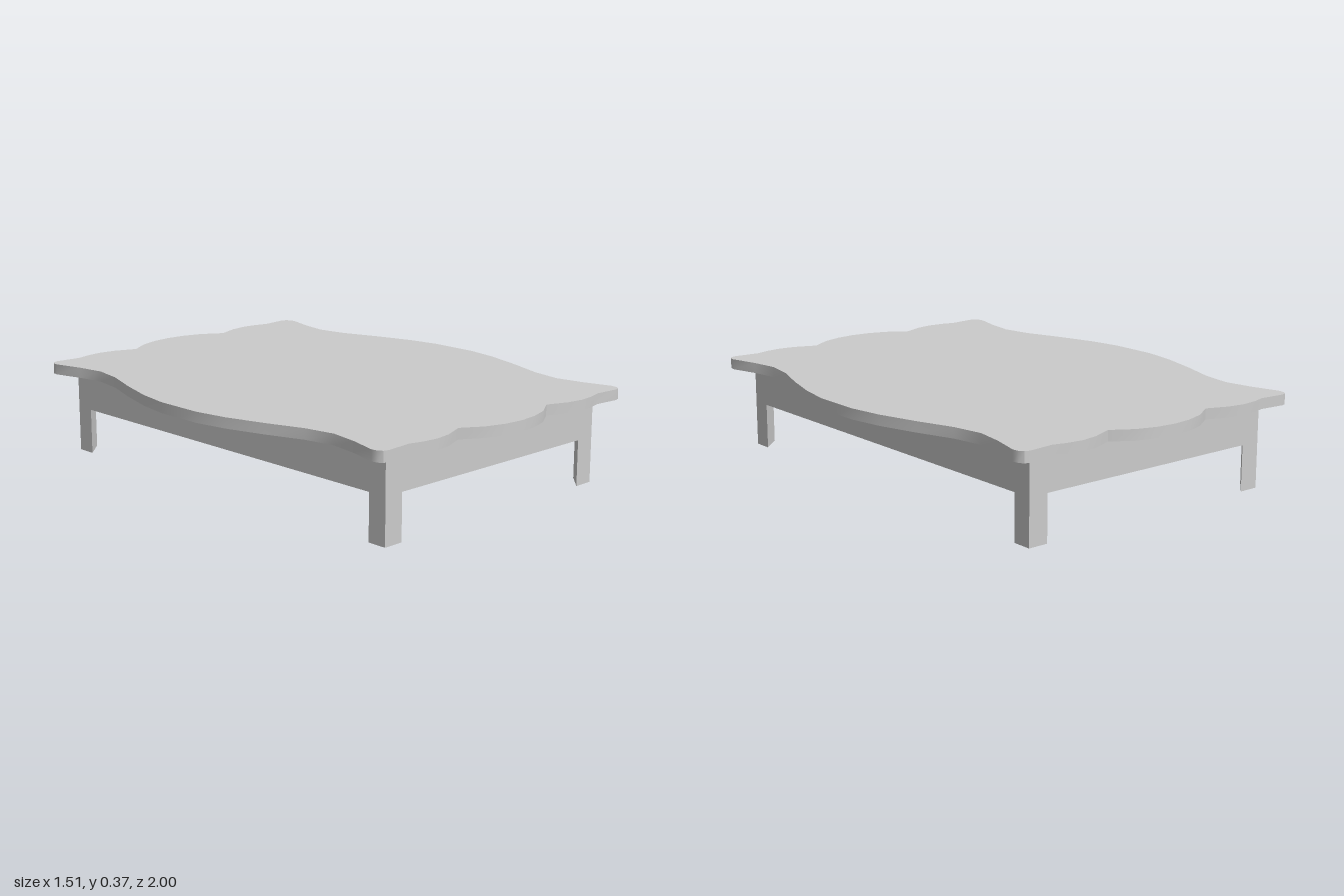
import * as THREE from 'three';
import { toCreasedNormals } from 'three/addons/utils/BufferGeometryUtils.js';

const W = 0.57, D = 0.88;                     // half size of the frame
const LEG_X = 0.082, LEG_Z = 0.079;           // leg widths along x and z
const APRON_Y = 0.183, RIM_Y = 0.33, TOP_Y = 0.372;

// Quarter outline of the scalloped top, from side middle to front middle (x, z)
const QUARTER = [
  [0.755, 0], [0.755, 0.1], [0.732, 0.235], [0.685, 0.395], [0.632, 0.545], [0.61, 0.67],
  [0.629, 0.785], [0.661, 0.9], [0.657, 0.926], [0.645, 0.942], [0.625, 0.948], [0.52, 0.938],
  [0.465, 0.953], [0.4, 0.96], [0.33, 0.949], [0.243, 0.915], [0.16, 0.967], [0.08, 0.992], [0, 1],
];
const FRONT = [...QUARTER, ...QUARTER.slice(0, -1).reverse().map(([x, z]) => [-x, z])];
const OUTLINE = [...FRONT, ...FRONT.slice(1, -1).map(([x, z]) => [-x, -z])].reverse();

const toShape = (points) => new THREE.Shape(points.map(([x, y]) => new THREE.Vector2(x, y)));

// Vertical band that follows the outline of the top
function rimGeometry() {
  const n = OUTLINE.length;
  const geo = new THREE.PlaneGeometry(1, 1, n, 1);
  const pos = geo.attributes.position;
  for (let i = 0; i < pos.count; i++) {
    const [x, z] = OUTLINE[(i % (n + 1)) % n];
    pos.setXYZ(i, x, i <= n ? TOP_Y : RIM_Y, z);
  }
  return toCreasedNormals(geo, 0.6);
}

// Thin apron panel that runs down into a leg at each end
function apronGeometry(half, leg) {
  const inner = half - leg;
  return new THREE.ShapeGeometry(toShape([
    [-half, 0], [-inner, 0], [-inner, APRON_Y], [inner, APRON_Y],
    [inner, 0], [half, 0], [half, RIM_Y], [-half, RIM_Y],
  ]));
}

export function createModel() {
  const group = new THREE.Group();
  const material = new THREE.MeshStandardMaterial({ color: 0xcccccc, side: THREE.DoubleSide });

  const add = (name, geometry) => {
    const mesh = new THREE.Mesh(geometry, material);
    mesh.name = name;
    group.add(mesh);
    return mesh;
  };

  // Scalloped top: a sheet with a rim, open underneath
  const sheet = new THREE.ShapeGeometry(toShape(OUTLINE));
  sheet.rotateX(-Math.PI / 2);
  add('tableTop', sheet).position.y = TOP_Y;
  add('tableTopRim', rimGeometry());

  // Four apron panels around the frame
  ['frontApron', 'leftApron', 'backApron', 'rightApron'].forEach((name, i) => {
    const onSide = i % 2 === 1;
    const geo = onSide ? apronGeometry(D, LEG_Z) : apronGeometry(W, LEG_X);
    geo.translate(0, 0, onSide ? W : D);
    add(name, geo).rotation.y = i * Math.PI / 2;
  });

  // Diagonal inner faces that close the three-sided, hollow legs
  for (const sx of [-1, 1]) {
    for (const sz of [-1, 1]) {
      const name = (sz > 0 ? 'front' : 'back') + (sx > 0 ? 'Left' : 'Right') + 'LegInnerFace';
      const face = add(name, new THREE.PlaneGeometry(Math.hypot(LEG_X, LEG_Z), APRON_Y));
      face.position.set(sx * (W - LEG_X / 2), APRON_Y / 2, sz * (D - LEG_Z / 2));
      face.rotation.y = Math.atan2(-sx * LEG_Z, -sz * LEG_X);
    }
  }
  return group;
}
